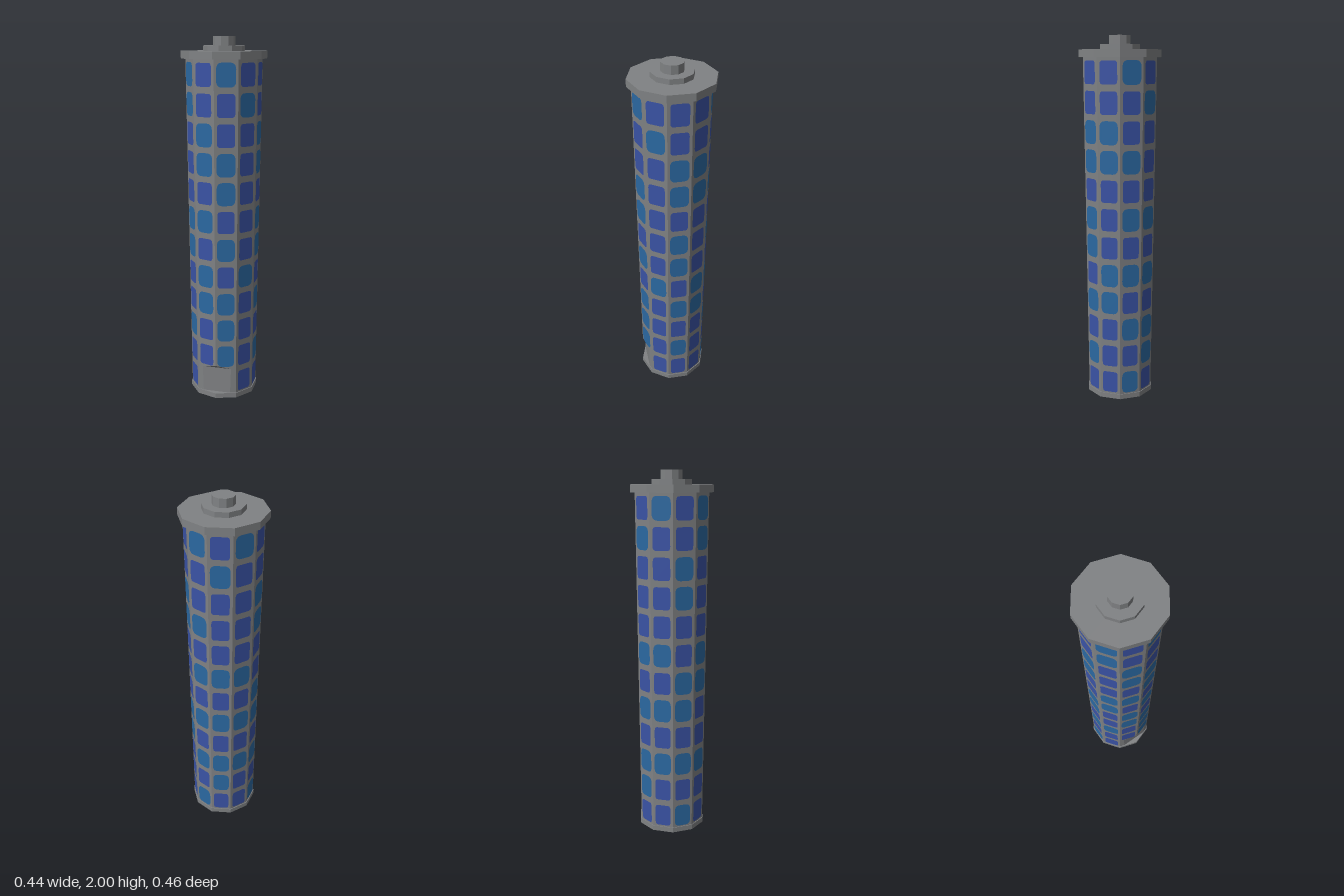
import * as THREE from 'three';

const SIDES = 10, STEP = (Math.PI * 2) / SIDES;
const Y0 = 0.02, Y1 = 1.89;
const radiusAt = (y) => 0.185 + (0.206 - 0.185) * (y / Y1);

const mat = (name, color) => {
  const m = new THREE.MeshStandardMaterial({ color });
  m.name = name;
  return m;
};

// Rounded pane outline, centred on the origin
function paneGeometry(w, h, rx, ry) {
  const s = new THREE.Shape(), x = w / 2, y = h / 2;
  s.moveTo(-x + rx, -y);
  s.lineTo(x - rx, -y);
  s.quadraticCurveTo(x, -y, x, -y + ry);
  s.lineTo(x, y - ry);
  s.quadraticCurveTo(x, y, x - rx, y);
  s.lineTo(-x + rx, y);
  s.quadraticCurveTo(-x, y, -x, y - ry);
  s.lineTo(-x, -y + ry);
  s.quadraticCurveTo(-x, -y, -x + rx, -y);
  return new THREE.ShapeGeometry(s, 5);
}

// Ten-sided shaft whose front corner is cut flat at the entrance
function shaftGeometry() {
  const cutZ = 0.16;
  const ring = (y, cut) => {
    const r = radiusAt(y), pts = [];
    const cx = cut ? ((r - cutZ) * Math.sin(STEP)) / (1 - Math.cos(STEP)) : 0;
    const z = cut ? cutZ : r;
    pts.push([cx, y, z]);
    for (let i = 1; i < SIDES; i++) pts.push([Math.sin(i * STEP) * r, y, Math.cos(i * STEP) * r]);
    pts.push([-cx, y, z]);
    return pts;
  };
  const rings = [ring(Y0, true), ring(0.175, true), ring(0.197, false), ring(Y1, false)];
  const pos = [];
  const tri = (...p) => {
    const [a, b, c] = p.map((q) => new THREE.Vector3(...q));
    if (b.clone().sub(a).cross(c.clone().sub(a)).length() > 1e-9) pos.push(...p.flat());
  };
  for (let k = 0; k < rings.length - 1; k++) {
    const lo = rings[k], hi = rings[k + 1], n = lo.length;
    for (let i = 0; i < n; i++) {
      const j = (i + 1) % n;
      tri(lo[i], lo[j], hi[j]);
      tri(lo[i], hi[j], hi[i]);
    }
  }
  const g = new THREE.BufferGeometry();
  g.setAttribute('position', new THREE.Float32BufferAttribute(pos, 3));
  g.computeVertexNormals();
  return g;
}

export function createModel() {
  const model = new THREE.Group();
  model.name = 'tower';
  const grey = mat('concrete grey', 0x808284);
  grey.flatShading = true;
  const blue = mat('deep blue glass', 0x3a53a6);
  const teal = mat('light blue glass', 0x2b69a2);

  const add = (name, geo, material, parent = model) => {
    const m = new THREE.Mesh(geo, material);
    m.name = name;
    parent.add(m);
    return m;
  };

  // Shaft, base and stepped roof
  add('shaft', shaftGeometry(), grey);
  const disc = (name, r, y0, y1) => {
    add(name, new THREE.CylinderGeometry(r, r, y1 - y0, SIDES), grey).position.y = (y0 + y1) / 2;
  };
  disc('base', 0.19, 0, 0.028);
  disc('roofSlab', 0.23, 1.885, 1.925);
  disc('roofStep', 0.112, 1.925, 1.953);
  disc('roofCap', 0.06, 1.953, 2);

  // Panes: one row per floor from the top, one letter per side
  // starting at the front and going round by +x; '.' is the entrance
  const floors = [
    'tbbbtbtbtb',
    'btbbbtbbtb',
    'bbttbbbtbt',
    'tbtttbbtbt',
    'tbbbbbbbbb',
    'bbtbtttbtt',
    'tbtbbbbttb',
    'btbtttttbt',
    'tbttbbbbbt',
    'tbbbtttttb'.replace(' ', ''),
    'tbtbbtbbbb',
    '.bbbtbbtb.',
  ];
  const panes = {
    b: [paneGeometry(0.094, 0.121, 0.016, 0.022), blue, 'deepBluePane'],
    t: [paneGeometry(0.1, 0.125, 0.03, 0.034), teal, 'lightBluePane'],
  };
  const tilt = Math.atan((0.021 / Y1) * Math.cos(STEP / 2));
  const windows = new THREE.Group();
  windows.name = 'windows';
  model.add(windows);
  floors.forEach((row, f) => {
    const y = 1.807 - f * 0.1554, r = radiusAt(y);
    const d = r * Math.cos(STEP / 2) + 0.002;
    [...row].forEach((c, i) => {
      if (!panes[c]) return;
      const [geo, material, name] = panes[c];
      const a = (i + 0.5) * STEP;
      const m = add(name, geo, material, windows);
      m.position.set(Math.sin(a) * d, y, Math.cos(a) * d);
      m.rotation.set(tilt, a, 0, 'YXZ');
      m.scale.x = r / 0.2;
    });
  });
  return model;
}
